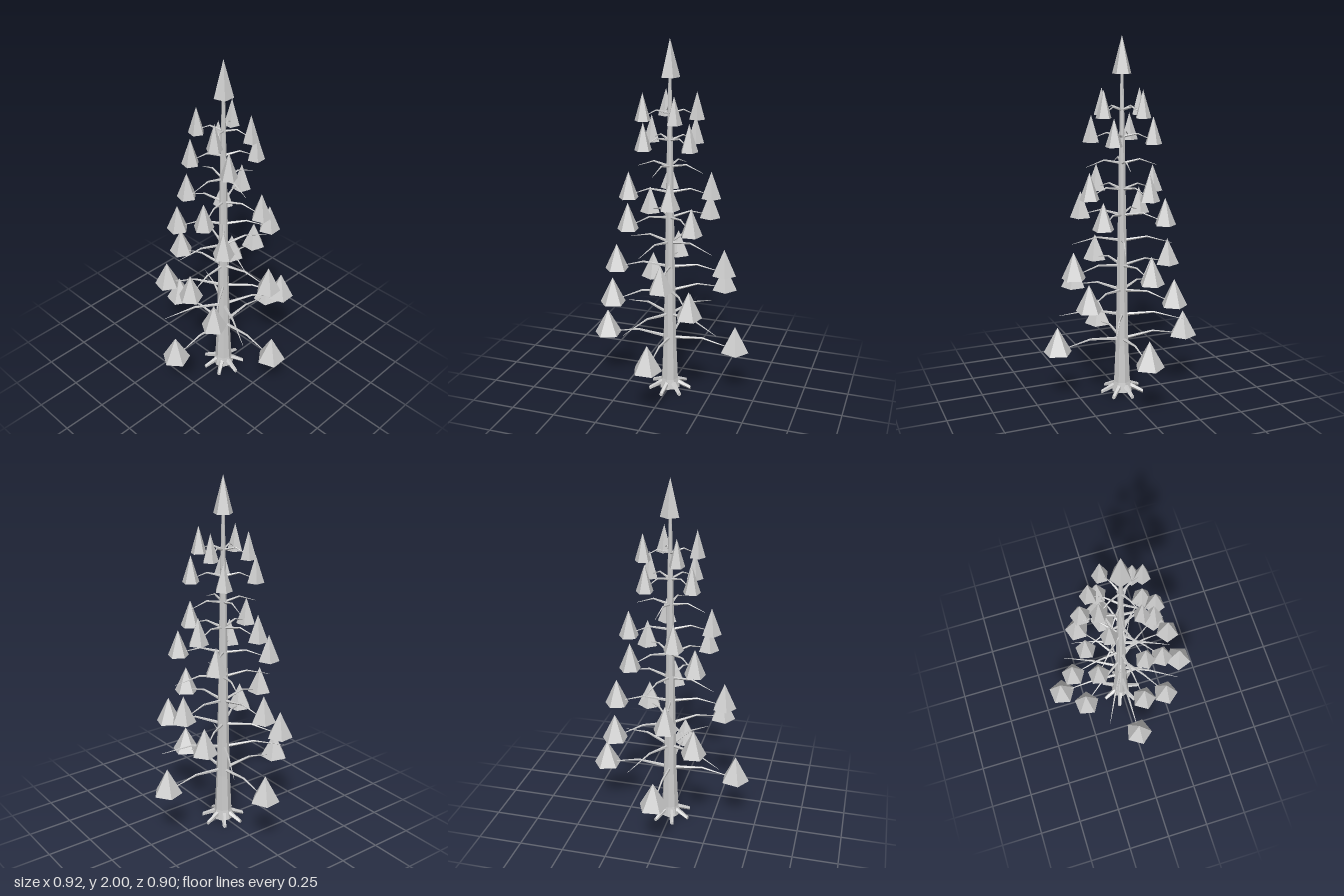
import * as THREE from 'three';

const rad = THREE.MathUtils.degToRad;

export function createModel() {
  const model = new THREE.Group();
  model.name = 'model';
  // The trunk axis sits slightly off the centre of the foliage
  const tree = new THREE.Group();
  tree.name = 'tree';
  tree.position.set(0.004, 0, -0.004);
  model.add(tree);
  const material = new THREE.MeshStandardMaterial({ color: 0xcccccc, flatShading: true });

  const add = (name, geometry) => {
    const mesh = new THREE.Mesh(geometry, material);
    mesh.name = name;
    tree.add(mesh);
    return mesh;
  };

  // Tapered limb along +x whose rings are lifted to the given heights
  const limb = (r0, r1, length, heights) => {
    const n = heights.length - 1;
    const geo = new THREE.CylinderGeometry(r1, r0, length, 5, n);
    geo.rotateZ(-Math.PI / 2).translate(length / 2, 0, 0);
    const p = geo.attributes.position;
    for (let i = 0; i < p.count; i++) {
      p.setY(i, p.getY(i) + heights[Math.round((p.getX(i) / length) * n)]);
    }
    geo.computeVertexNormals();
    return geo;
  };

  // Five-sided foliage cone standing on y, with a corner at azimuth phase (degrees)
  const foliage = (name, radius, height, x, y, z, phase) => {
    const cone = add(name, new THREE.ConeGeometry(radius, height, 5));
    cone.position.set(x, y + height / 2, z);
    cone.rotation.y = rad(18 - phase);
  };

  // Trunk, flared at the foot
  const profile = [[0, 0.012], [0.06, 0.012], [0.049, 0.07], [0.039, 0.29],
    [0.029, 0.75], [0.019, 1.35], [0.008, 1.82], [0, 1.82]];
  add('trunk', new THREE.LatheGeometry(profile.map(([x, y]) => new THREE.Vector2(x, y)), 8));

  // Roots
  const rootGeo = limb(0.018, 0.011, 0.122, [0.065, 0.038, 0.011]);
  for (let k = 0; k < 7; k++) {
    add('root', rootGeo).rotation.y = -rad(45 + (360 / 7) * k);
  }

  // Whorls of four branches, each turned 27 degrees from the one below
  for (let i = 0; i < 10; i++) {
    const reach = 0.381 - 0.0262 * i;
    const y = 0.342 + 0.143 * i;
    const droop = 0.041 - 0.0007 * i;
    const start = i ? ((27 * i) % 90) - 90 : 0;
    const bare = i % 3 === 1;
    const branchGeo = limb(0.011 - 0.0004 * i, 0.001, reach, [-0.02, 0, -droop]);
    for (let j = 0; j < 4; j++) {
      const azimuth = start + 90 * j;
      const branch = add('branch', branchGeo);
      branch.position.y = y;
      branch.rotation.y = -rad(azimuth);
      // Every third whorl from the second carries no foliage
      if (!bare) {
        foliage('foliage', 0.081 - 0.0041 * i, 0.148, reach * Math.cos(rad(azimuth)),
          0.29 + 0.1428 * i, reach * Math.sin(rad(azimuth)), 72 - 20 * j);
      }
    }
  }

  // Crown
  foliage('crown', 0.054, 0.2, 0, 1.8, 0, 54);

  return model;
}
